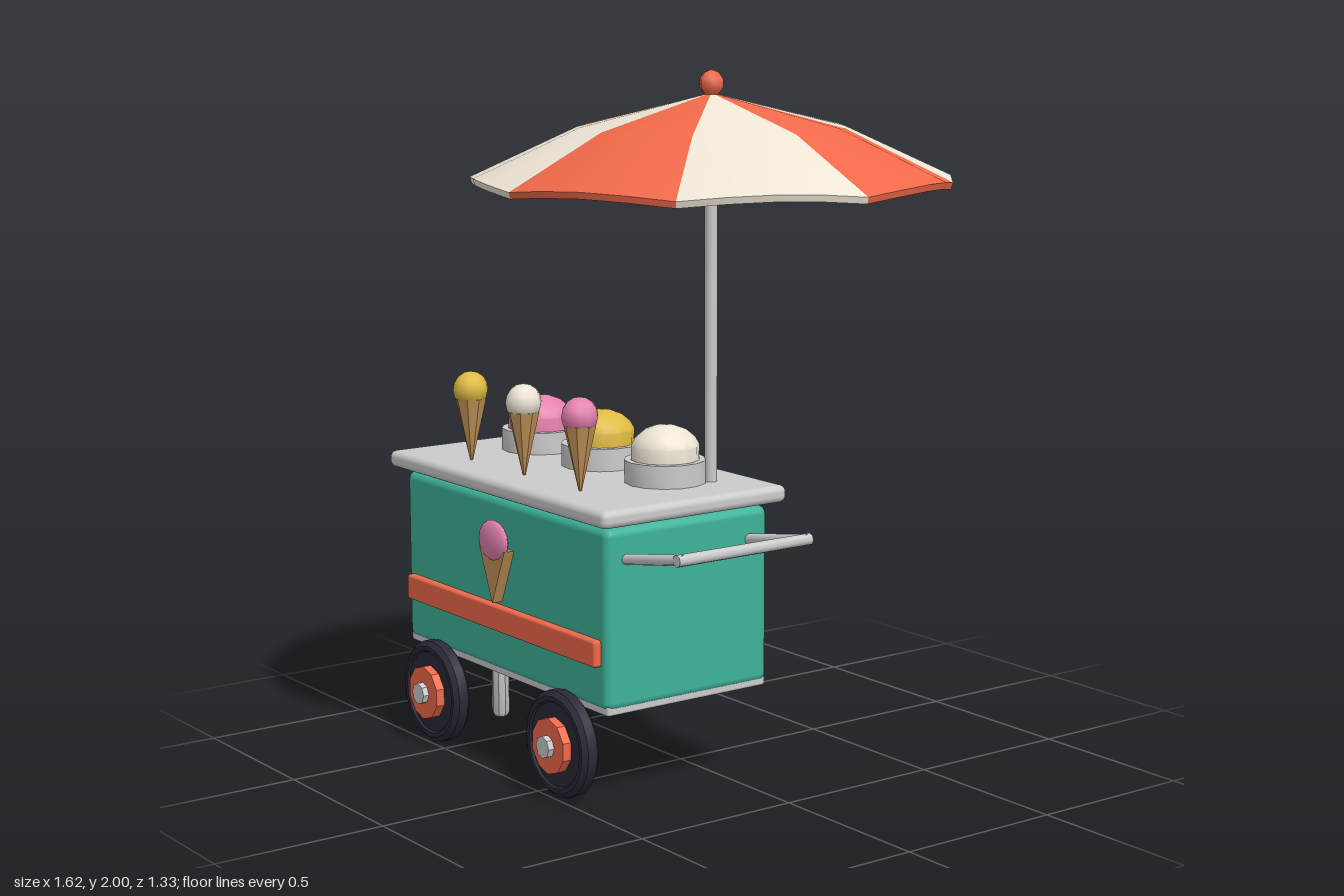
import * as THREE from 'three';
import { toCreasedNormals } from 'three/addons/utils/BufferGeometryUtils.js';
import { RoundedBoxGeometry } from 'three/addons/geometries/RoundedBoxGeometry.js';

const mat = (color) => new THREE.MeshStandardMaterial({ color });
const M = {
  grey: mat(0xcccccc), teal: mat(0x3db39a), red: mat(0xf0694a), cream: mat(0xede5d5),
  pink: mat(0xe583ae), yellow: mat(0xdfbb42), wafer: mat(0xc29257), tyre: mat(0x2a2936),
};

export function createModel() {
  const root = new THREE.Group();
  const add = (name, geo, material, x = 0, y = 0, z = 0, parent = root) => {
    const mesh = new THREE.Mesh(geo, material);
    mesh.name = name;
    mesh.position.set(x, y, z);
    parent.add(mesh);
    return mesh;
  };
  const group = (name, x = 0, y = 0, z = 0) => {
    const g = new THREE.Group();
    g.name = name;
    g.position.set(x, y, z);
    root.add(g);
    return g;
  };
  const lathe = (pts, sides, crease = 0.6) => toCreasedNormals(
    new THREE.LatheGeometry(pts.map(([r, y]) => new THREE.Vector2(r, y)), sides), crease);

  // Cart body, base plate, worktop and front rail
  const cx = -0.248, cz = 0.175;
  add('body', new RoundedBoxGeometry(1.045, 0.51, 0.555, 2, 0.025), M.teal, cx, 0.535, cz);
  add('basePlate', new RoundedBoxGeometry(1.035, 0.03, 0.545, 1, 0.008), M.grey, cx, 0.283, cz);
  add('worktop', new RoundedBoxGeometry(1.125, 0.05, 0.63, 2, 0.02), M.grey, cx, 0.825, cz);
  add('frontRail', new RoundedBoxGeometry(0.985, 0.075, 0.035, 1, 0.008), M.red, cx, 0.442, 0.458);

  // Support leg
  add('leg', lathe([[0, 0], [0.02, 0], [0.027, 0.012], [0.027, 0.28]], 8), M.grey, -0.692, 0, 0.178);

  // Wheels: tyre, hub and axle cap, turned around z
  const tyre = lathe([[0, -0.022], [0.12, -0.022], [0.125, -0.028], [0.138, -0.028], [0.152, -0.015],
    [0.152, 0.015], [0.138, 0.028], [0.125, 0.028], [0.12, 0.022], [0, 0.022]], 20);
  const hub = toCreasedNormals(new THREE.CylinderGeometry(0.08, 0.08, 0.04, 10), 0.4);
  const cap = toCreasedNormals(new THREE.CylinderGeometry(0.032, 0.032, 0.05, 8), 0.4);
  for (const x of [-0.58, 0.083]) {
    const wheel = group('wheel', x, 0.155, 0.473);
    wheel.rotation.x = Math.PI / 2;
    add('tyre', tyre, M.tyre, 0, 0, 0, wheel);
    add('hub', hub, M.red, 0, 0.028, 0, wheel);
    add('axleCap', cap, M.grey, 0, 0.041, 0, wheel);
  }

  // Push handle: two sloping arms joined by a bar
  const handle = group('handle');
  const rod = (name, a, b, r) => {
    const p = new THREE.Vector3(...a), q = new THREE.Vector3(...b);
    const mesh = add(name, new THREE.CylinderGeometry(r, r, p.distanceTo(q), 8), M.grey, 0, 0, 0, handle);
    mesh.position.copy(p).add(q).multiplyScalar(0.5);
    mesh.quaternion.setFromUnitVectors(new THREE.Vector3(0, 1, 0), q.sub(p).normalize());
  };
  for (const z of [0.388, -0.033]) rod('handleArm', [0.26, 0.7, z], [0.53, 0.747, z], 0.015);
  rod('handleBar', [0.522, 0.745, 0.403], [0.522, 0.745, -0.048], 0.017);

  // Ice cream tubs
  const tub = lathe([[0.117, 0], [0.117, 0.065], [0.098, 0.065], [0.096, 0.05], [0, 0.05]], 14);
  const mound = lathe([[0.095, 0.04], [0.097, 0.105], [0.085, 0.127], [0.06, 0.148], [0.03, 0.159], [0, 0.162]], 12, 0.55);
  [[-0.565, M.pink], [-0.247, M.yellow], [0.067, M.cream]].forEach(([x, m]) => {
    const g = group('iceCreamTub', x, 0.85, 0.105);
    add('tub', tub, M.grey, 0, 0, 0, g);
    add('iceCream', mound, m, 0, 0, 0, g);
  });

  // Standing cones
  const cone = lathe([[0.004, 0], [0.046, 0.185], [0.036, 0.19], [0, 0.19]], 8);
  const scoop = new THREE.SphereGeometry(0.053, 10, 8);
  [[-0.53, M.yellow], [-0.249, M.cream], [0.033, M.pink]].forEach(([x, m]) => {
    const g = group('displayCone', x, 0.848, 0.372);
    add('wafer', cone, M.wafer, 0, 0, 0, g);
    add('scoop', scoop, m, 0, 0.212, 0, g);
  });

  // Flat cone sign on the front
  const sign = group('coneSign', cx, 0, 0.477);
  const tri = new THREE.Shape([[0, 0.49], [0.066, 0.65], [-0.066, 0.65]].map((p) => new THREE.Vector2(...p)));
  const plate = new THREE.ExtrudeGeometry(tri, { depth: 0.035, bevelEnabled: false });
  add('signWafer', plate, M.wafer, 0, 0, -0.026, sign);
  const dome = add('signScoop', new THREE.SphereGeometry(0.074, 10, 8), M.pink, 0, 0.672, 0.002, sign);
  dome.scale.set(1, 0.8, 0.27);

  // Parasol pole and finial
  add('pole', new THREE.CylinderGeometry(0.018, 0.018, 1.08, 10), M.grey, 0.14, 1.385, 0);
  const finial = add('finial', new THREE.SphereGeometry(0.037, 6, 5), M.red, 0.14, 1.963, 0);
  finial.rotation.y = Math.PI / 6;

  // Parasol canopy: eight arched panels with top, rim and underside
  const canopy = group('canopy', 0.14, 0, 0);
  const section = [[0.003, 1.936], [0.37, 1.842], [0.665, 1.698], [0.66, 1.68], [0.365, 1.825], [0.003, 1.919]];
  const steps = 4;
  for (let k = 0; k < 8; k++) {
    const pos = [], idx = [];
    section.forEach(([r, y], i) => {
      for (let j = 0; j <= steps; j++) {
        const t = j / steps, a = (k + t) * Math.PI / 4;
        pos.push(r * Math.cos(a), y + 0.016 * Math.sin(Math.PI * t) * (r / 0.665) ** 2, r * Math.sin(a));
        if (i < section.length - 1 && j < steps) {
          const p = i * (steps + 1) + j, q = p + steps + 1;
          idx.push(p, p + 1, q, p + 1, q + 1, q);
        }
      }
    });
    const geo = new THREE.BufferGeometry();
    geo.setAttribute('position', new THREE.Float32BufferAttribute(pos, 3));
    geo.setIndex(idx);
    add('canopyPanel', toCreasedNormals(geo, 0.7), k % 2 ? M.red : M.cream, 0, 0, 0, canopy);
  }
  return root;
}
